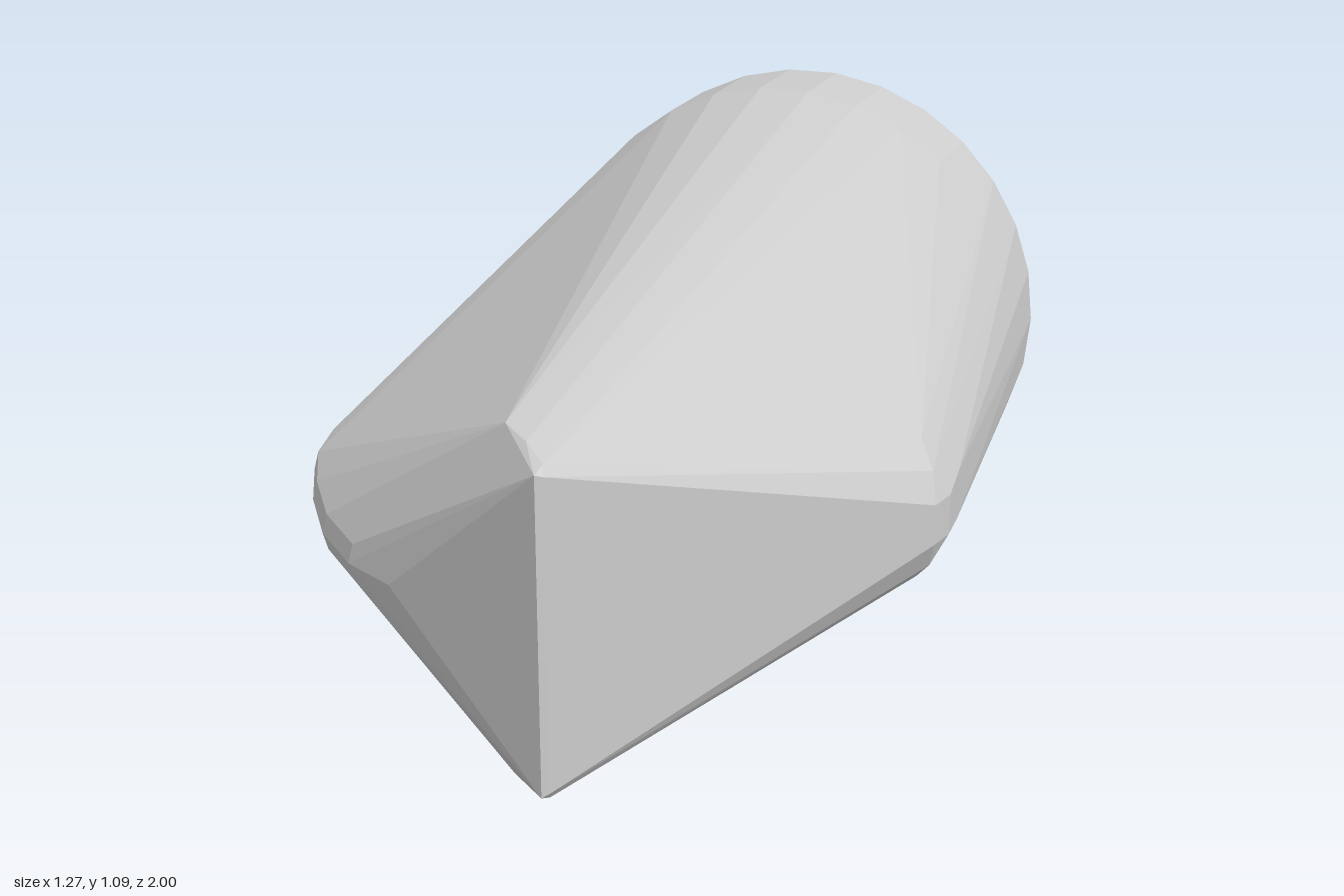
import * as THREE from 'three';
import { ConvexGeometry } from 'three/addons/geometries/ConvexGeometry.js';

export function createModel() {
  const group = new THREE.Group();
  const stone = new THREE.MeshStandardMaterial({ color: 0xcccccc });
  stone.name = 'paleGrey';

  const midY = 0.545;
  const points = [];
  const add = (x, y, z) => points.push(new THREE.Vector3(x, y, z));
  // adds a point and its twin mirrored about the middle height
  const pair = (x, dy, z) => { add(x, midY + dy, z); add(x, midY - dy, z); };

  // round butt: rings [radius, z], with a fine bevel at the back rim
  const sides = 30;
  for (const [r, z] of [[0.54, -1], [0.547, -0.992], [0.547, -0.78]]) {
    for (let i = 0; i < sides; i++) {
      const a = ((i + 0.5) / sides) * Math.PI * 2;
      add(-0.04 + Math.sin(a) * r, midY + Math.cos(a) * r, z);
    }
  }

  // upright nose edge with softened ends
  pair(0.135, 0.295, 1);
  pair(0.145, 0.29, 0.99);
  pair(0.14, 0.305, 0.975);
  pair(0.09, 0.322, 0.93);
  pair(0.03, 0.33, 0.88);

  // blunt knuckle on the left flank
  pair(0.62, 0.04, 0.29);
  pair(0.632, 0.04, 0.23);
  pair(0.622, 0.05, 0.13);
  pair(0.605, 0.095, 0.26);
  pair(0.57, 0.14, 0.22);

  // curved ridge sweeping round the right flank to the nose
  const ridge = [[-0.634, 0.1], [-0.634, 0.2], [-0.622, 0.33], [-0.59, 0.45],
    [-0.515, 0.59], [-0.42, 0.725], [-0.31, 0.83], [-0.2, 0.888]];
  for (const [x, z] of ridge) {
    add(x, midY, z);
    pair(x + 0.006, 0.035, z - 0.008);
  }

  const body = new THREE.Mesh(new ConvexGeometry(points), stone);
  body.name = 'wedgeBody';
  group.add(body);
  return group;
}
